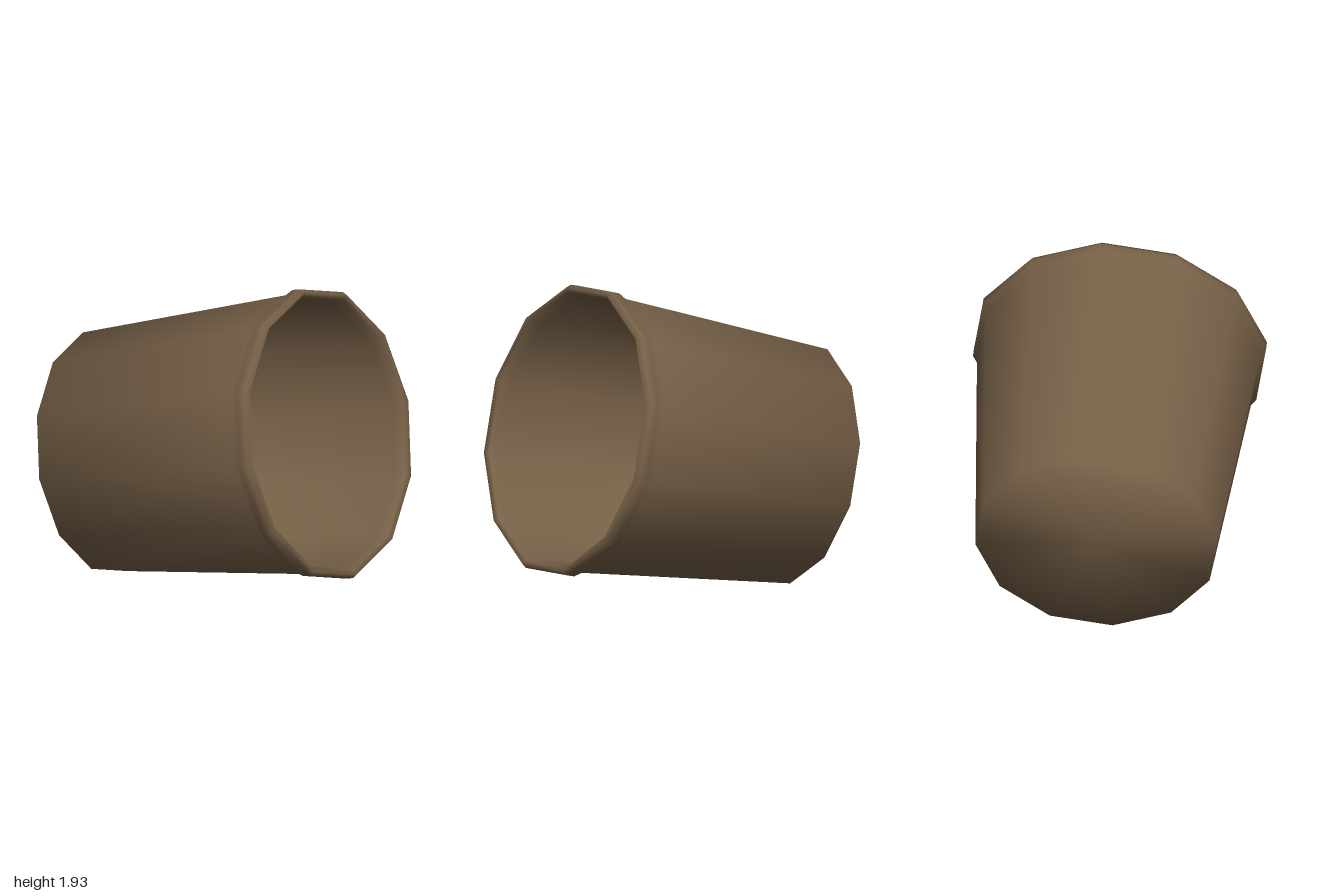
import * as THREE from 'three';

export function createModel() {
  const model = new THREE.Group();
  model.name = 'tiltedCup';

  const brown = new THREE.MeshStandardMaterial({ color: 0x766047 });
  brown.name = 'brown';

  // Closed wall profile [radius, height]: base, outer wall, thick lip, inner wall, inner floor
  const profile = [
    [0, 0], [0.711, 0],
    [0.832, 1.45], [0.86, 1.505], [0.86, 1.555], [0.84, 1.585], [0.815, 1.565],
    [0.802, 1.5], [0.675, 0.04], [0, 0.04],
  ].map(([r, h]) => new THREE.Vector2(r, h));

  // Twelve-sided, smoothly shaded cup
  const cup = new THREE.Mesh(
    new THREE.LatheGeometry(profile, 12, THREE.MathUtils.degToRad(-2), Math.PI * 2), brown);
  cup.name = 'cup';

  // Lay the cup on its side, mouth pointing forward, up and to the left
  const axis = new THREE.Vector3(0.24, 0.275, 0.93).normalize();
  const side = new THREE.Vector3(1, 0, 0).addScaledVector(axis, -axis.x).normalize();
  const up = new THREE.Vector3().crossVectors(axis, side);
  cup.quaternion.setFromRotationMatrix(new THREE.Matrix4().makeBasis(up, axis, side));
  cup.position.set(-0.265, 0.685, -0.76);

  model.add(cup);
  return model;
}
